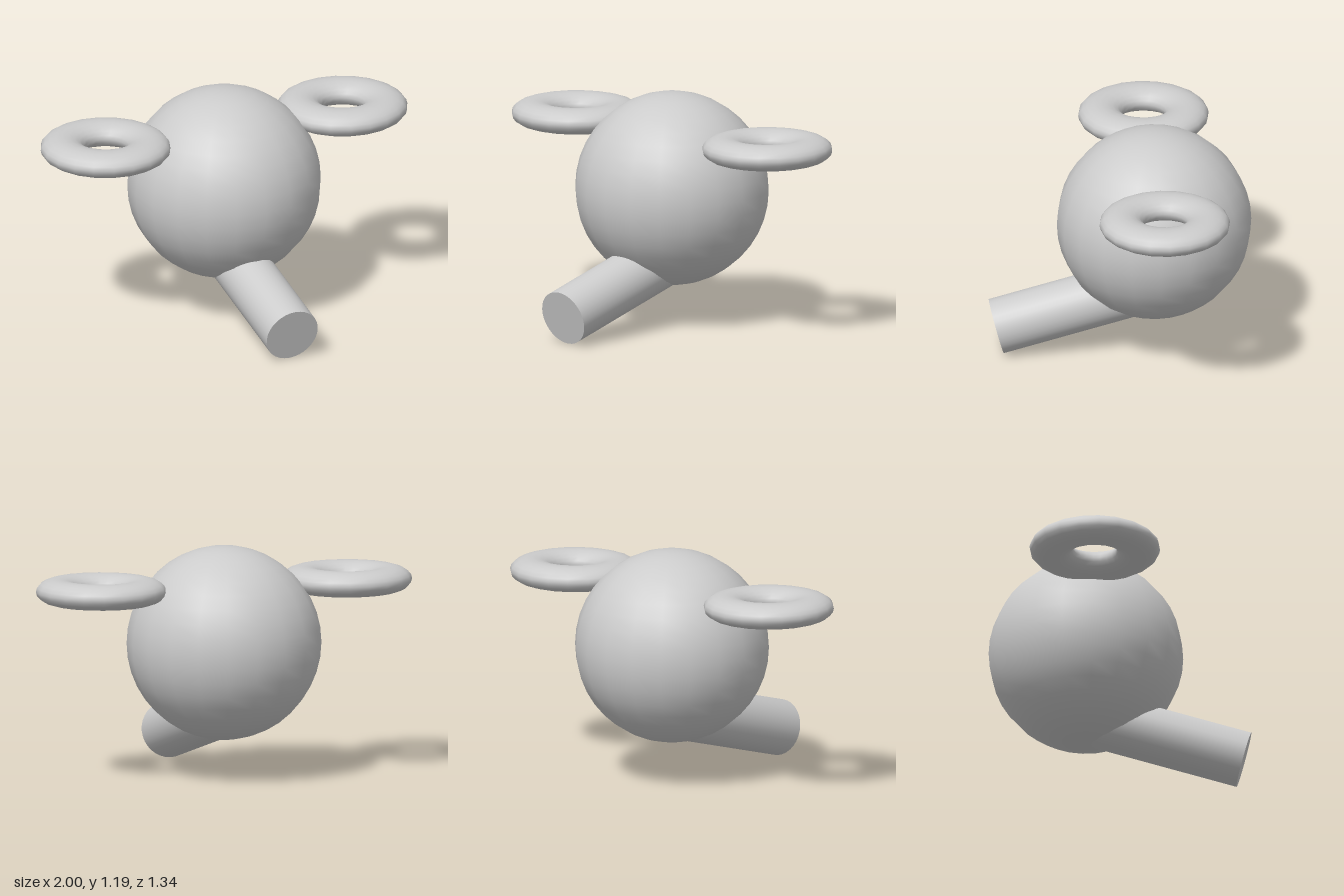
import * as THREE from 'three';

const material = new THREE.MeshStandardMaterial({ color: 0xcccccc });

function addPart(group, name, geometry, x, y, z) {
  const mesh = new THREE.Mesh(geometry, material);
  mesh.name = name;
  mesh.position.set(x, y, z);
  group.add(mesh);
  return mesh;
}

export function createModel() {
  const group = new THREE.Group();
  const centreZ = -0.172;

  // Round head
  addPart(group, 'head', new THREE.SphereGeometry(0.496, 20, 20), 0, 0.694, centreZ);

  // Flattened ring ears, one on each side
  const ring = new THREE.TorusGeometry(0.222, 0.111, 20, 20);
  ring.rotateX(Math.PI / 2).scale(1, 0.59, 1);
  for (const side of [1, -1]) {
    addPart(group, side > 0 ? 'leftEar' : 'rightEar', ring, side * 0.667, 0.989, centreZ);
  }

  // Snout: a cylinder sloping down and forward out of the head
  const length = 0.92;
  const snout = new THREE.CylinderGeometry(0.143, 0.143, length, 32);
  snout.translate(0, -length / 2, 0); // front end at the origin
  addPart(group, 'snout', snout, 0, 0.139, 0.633).rotation.x = THREE.MathUtils.degToRad(105);

  return group;
}
